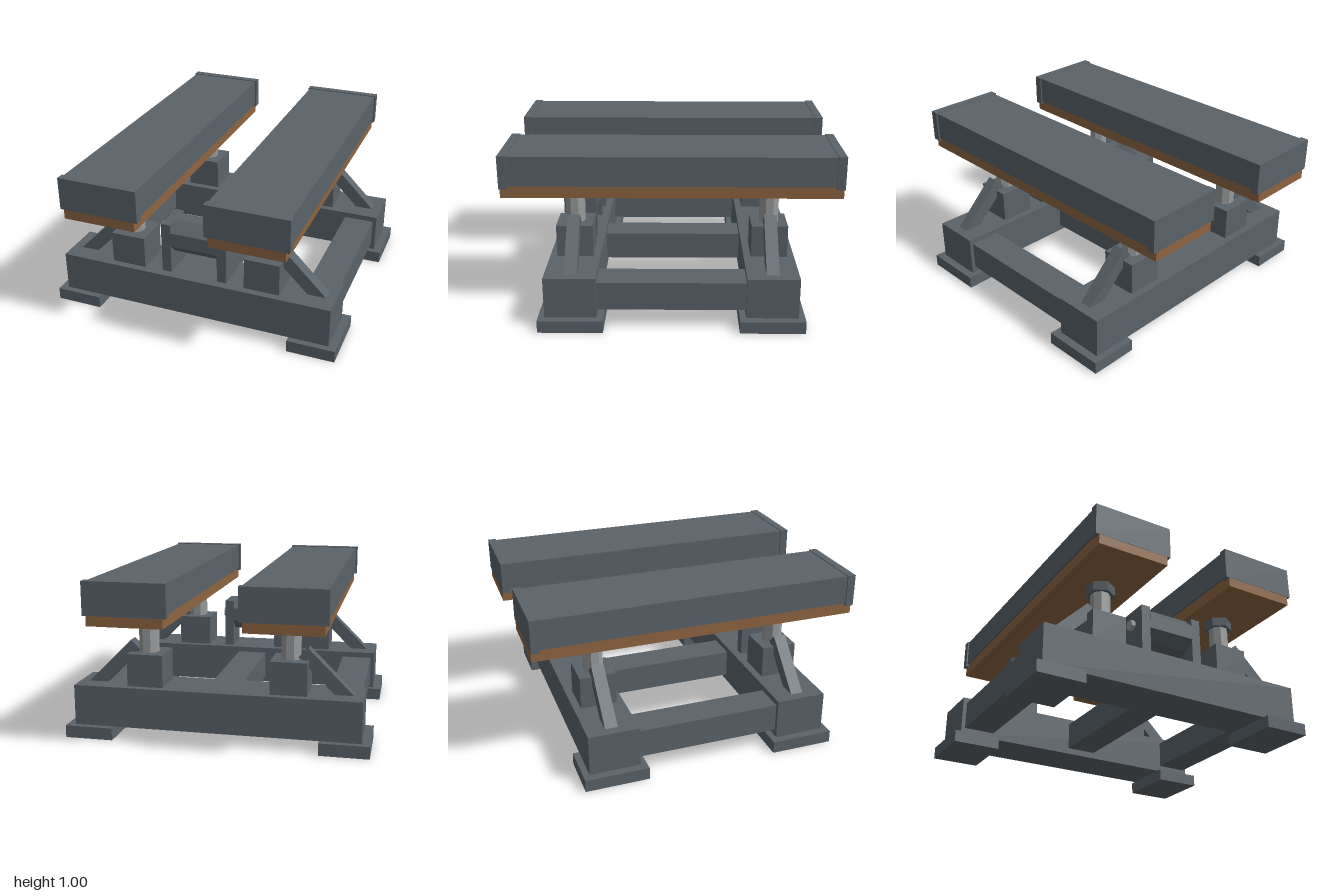
import * as THREE from 'three';

export function createModel() {
  const model = new THREE.Group();
  model.name = 'twinPadStand';

  const mat = (name, color) => {
    const m = new THREE.MeshStandardMaterial({ color, flatShading: true });
    m.name = name;
    return m;
  };
  const steel = mat('paintedSteel', 0x5a636a);
  const wood = mat('wood', 0x8f6540);
  const metal = mat('bareMetal', 0x999c9d);

  const add = (name, geometry, material) => {
    const mesh = new THREE.Mesh(geometry, material);
    mesh.name = name;
    model.add(mesh);
    return mesh;
  };
  // Box given by its lower and upper limits on each axis
  const box = (name, [x0, x1], [y0, y1], [z0, z1], material = steel) => {
    const mesh = add(name, new THREE.BoxGeometry(x1 - x0, y1 - y0, z1 - z0), material);
    mesh.position.set((x0 + x1) / 2, (y0 + y1) / 2, (z0 + z1) / 2);
    return mesh;
  };
  const span = (centre, size) => [centre - size / 2, centre + size / 2];

  const beamZ = 0.592; // distance of each cross beam from the middle
  const postX = 0.435; // distance of each post from the middle

  // Base frame: two cross beams joined by three rails
  for (const s of [1, -1]) {
    box('crossBeam', [-0.87, 0.87], [0.075, 0.323], span(s * beamZ, 0.308));
  }
  for (const x of [-0.748, 0, 0.748]) {
    box('rail', span(x, 0.195), [0.115, 0.288], [-0.45, 0.45]);
  }

  // Each corner: foot, pedestal, rod, hexagonal cap and diagonal brace
  for (const sx of [1, -1]) {
    for (const sz of [1, -1]) {
      const x = sx * postX, z = sz * beamZ;
      box('foot', span(sx * 0.772, 0.295), [0, 0.075], span(z, 0.385));
      box('pedestal', span(x, 0.22), [0.323, 0.522], span(z, 0.22));

      const rod = add('rod', new THREE.CylinderGeometry(0.061, 0.061, 0.18, 8), metal);
      rod.rotation.y = Math.PI / 8;
      rod.position.set(x, 0.605, z);

      const cap = add('rodCap', new THREE.CylinderGeometry(0.086, 0.086, 0.062, 6), steel);
      cap.position.set(x, 0.72, z);

      const brace = add('brace', new THREE.BoxGeometry(0.08, 0.41, 0.076), steel);
      brace.position.set(sx * 0.656, 0.421, z);
      brace.rotation.z = sx * Math.PI / 4;
    }
  }

  // Two long pads on wooden boards, with end caps
  for (const s of [1, -1]) {
    const x = s * 0.448;
    box('woodBoard', span(x, 0.45), [0.748, 0.822], [-0.998, 0.998], wood);
    box('pad', span(x, 0.475), [0.822, 1.0], [-0.96, 0.96]);
    for (const e of [1, -1]) {
      box('padEndCap', span(x, 0.493), [0.807, 1.005], span(e * 0.975, 0.05));
    }
  }

  // Drum between two uprights, on the front cross beam
  for (const s of [1, -1]) {
    box('drumUpright', span(s * 0.18, 0.06), [0.323, 0.648], span(beamZ, 0.205));
  }
  const drum = new THREE.CylinderGeometry(0.117, 0.117, 0.302, 8).rotateY(Math.PI / 8).rotateZ(Math.PI / 2);
  add('drum', drum, steel).position.set(0, 0.551, 0.59);
  const axle = new THREE.CylinderGeometry(0.033, 0.033, 0.47, 8).rotateY(Math.PI / 8).rotateZ(Math.PI / 2);
  add('axle', axle, metal).position.set(0, 0.55, 0.59);

  return model;
}
